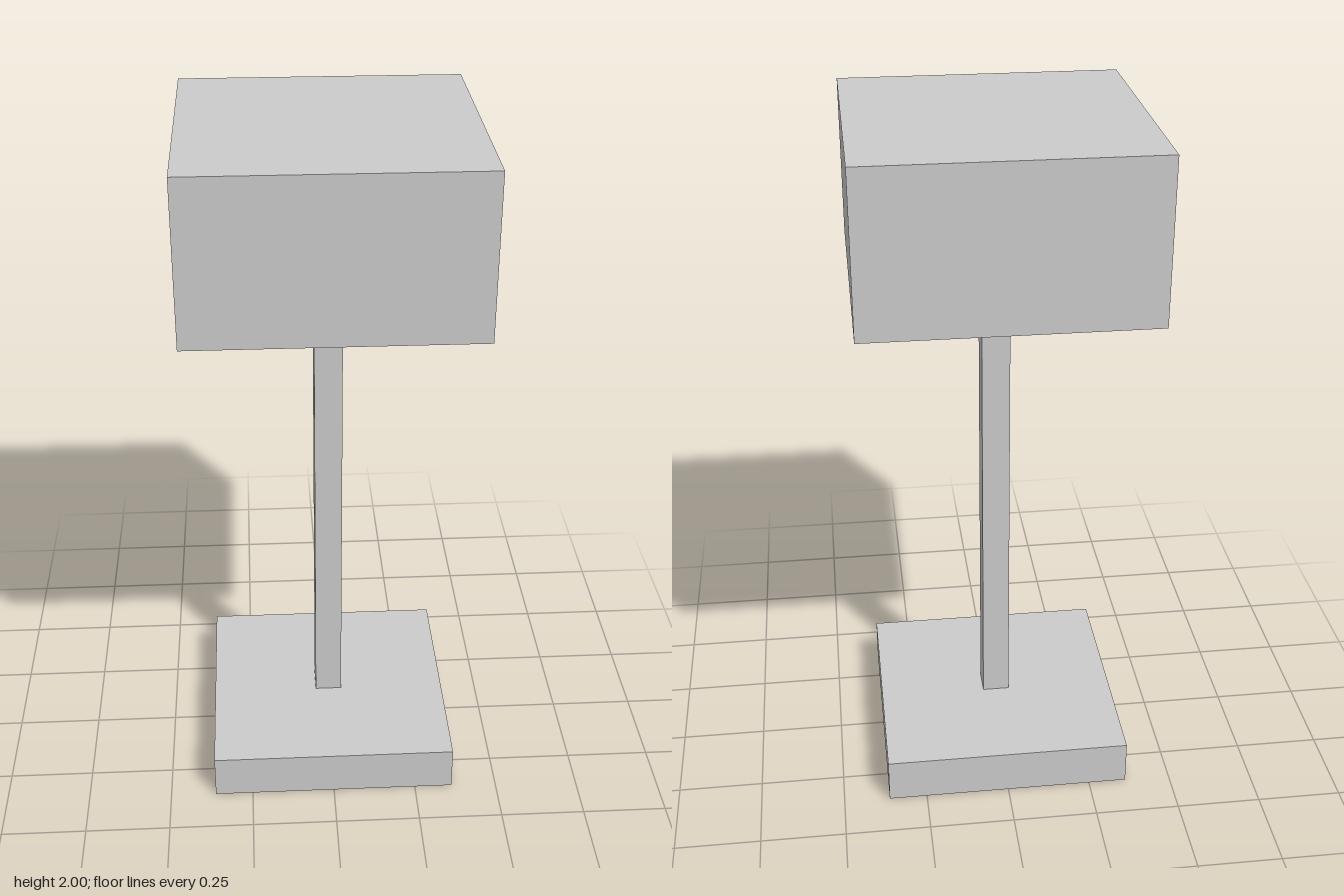
import * as THREE from 'three';

export function createModel() {
  const model = new THREE.Group();
  const material = new THREE.MeshStandardMaterial({ color: 0xcccccc, flatShading: true });

  // Square block of a given width, standing between two heights
  function addBlock(name, width, bottom, top) {
    const block = new THREE.Mesh(new THREE.BoxGeometry(width, top - bottom, width), material);
    block.name = name;
    block.position.y = (bottom + top) / 2;
    model.add(block);
  }

  addBlock('base', 0.727, 0, 0.135);
  addBlock('pole', 0.081, 0.135, 1.54);
  addBlock('lampshade', 0.807, 1.54, 2);

  return model;
}
